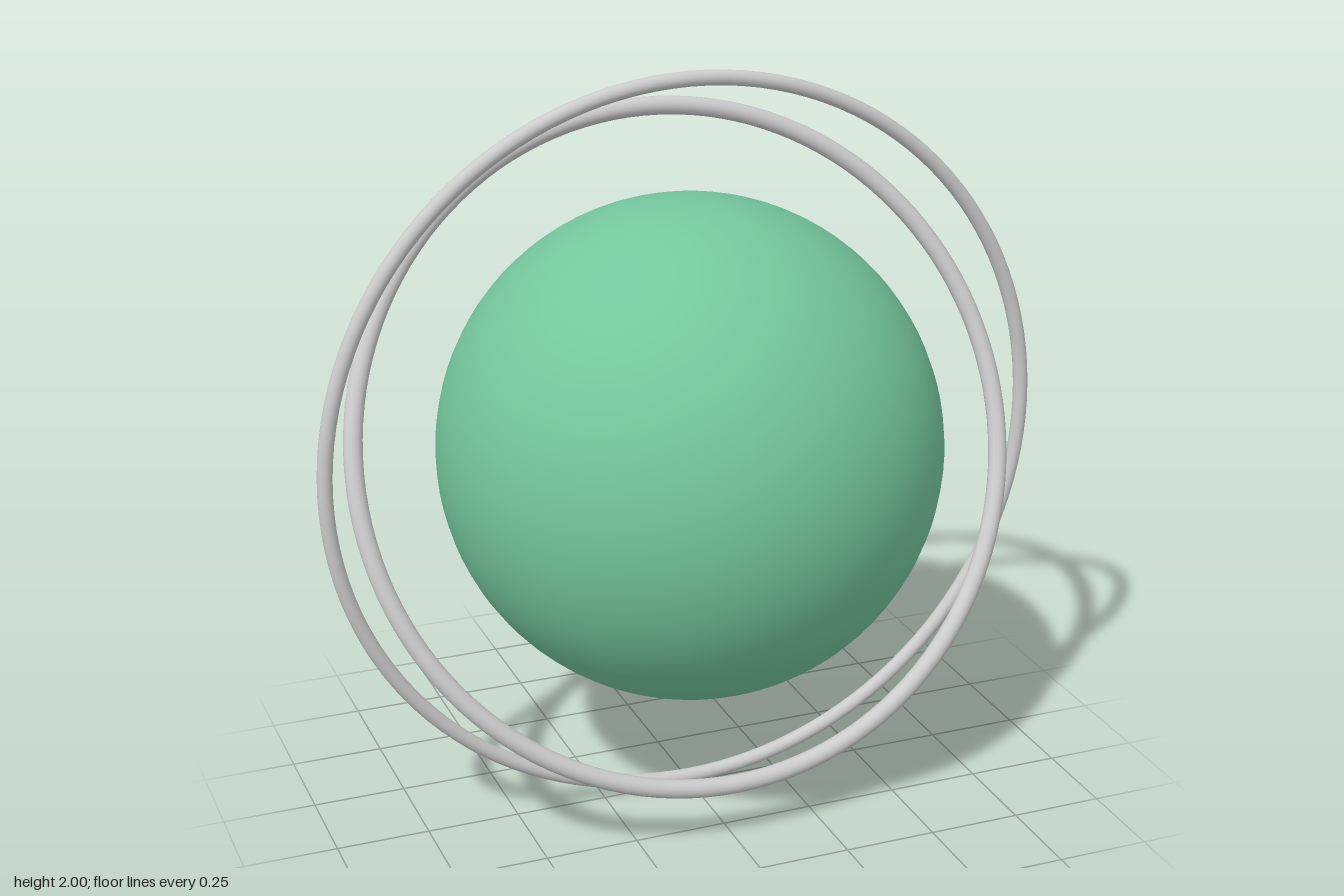
import * as THREE from 'three';

export function createModel() {
  const model = new THREE.Group();
  const green = new THREE.MeshStandardMaterial({ color: 0x74c69d });
  const grey = new THREE.MeshStandardMaterial({ color: 0xcccccc });

  function addPart(name, geometry, material, tilt = 0) {
    const mesh = new THREE.Mesh(geometry, material);
    mesh.name = name;
    mesh.position.y = 1;
    mesh.rotation.x = tilt;
    model.add(mesh);
  }

  // Central ball
  addPart('globe', new THREE.SphereGeometry(0.667, 64, 48), green);

  // Upright outer ring, and an inner ring whose top leans backwards
  addPart('outerRing', new THREE.TorusGeometry(0.98, 0.02, 16, 128), grey);
  addPart('innerRing', new THREE.TorusGeometry(0.9, 0.025, 16, 128), grey, -0.385);

  return model;
}
